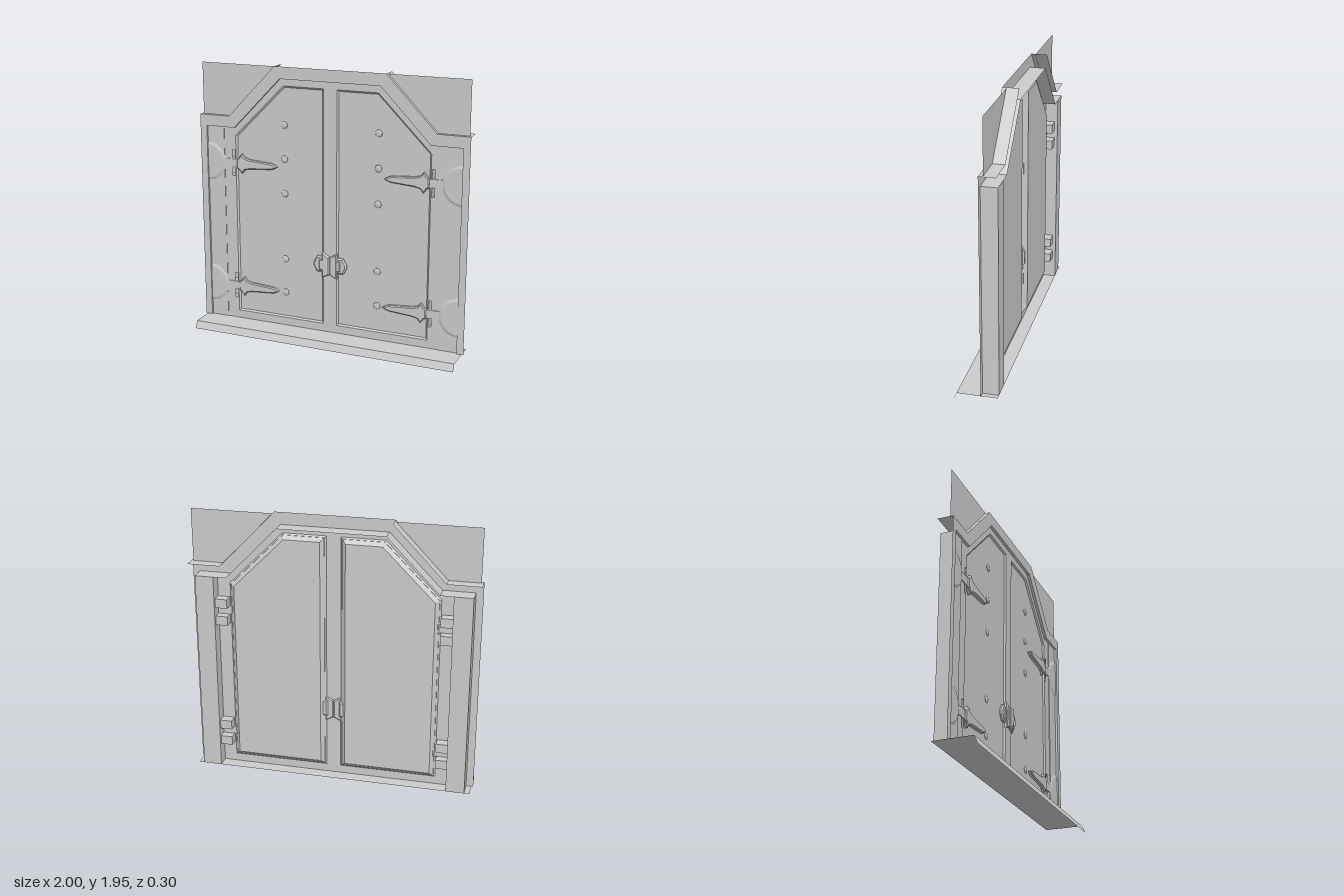
import * as THREE from 'three';

const mat = new THREE.MeshStandardMaterial({ color: 0xcccccc, side: THREE.DoubleSide, flatShading: true });
const smooth = new THREE.MeshStandardMaterial({ color: 0xcccccc, side: THREE.DoubleSide });

const FRONT = -0.04, BACK = -0.15, POST = -0.056, RIM = -0.06, PANEL = -0.071, PANEL_BACK = -0.095, BLOCK_BACK = -0.128;
const BASE = 0.052, TOP = 1.945;

const shapeOf = pts => new THREE.Shape(pts.map(p => new THREE.Vector2(...p)));
const rect = (x0, y0, x1, y1) => [[x0, y0], [x1, y0], [x1, y1], [x0, y1]];

function add(parent, name, geometry, material = mat) {
  const mesh = new THREE.Mesh(geometry, material);
  mesh.name = name;
  parent.add(mesh);
  return mesh;
}

// Flat sheet at depth z, with optional holes
function sheet(parent, name, pts, z, holes = []) {
  const s = shapeOf(pts);
  s.holes = holes.map(shapeOf);
  return add(parent, name, new THREE.ShapeGeometry(s).translate(0, 0, z));
}

// Wall joining outline a at depth za to outline b at depth zb
function wall(parent, name, a, za, b, zb, closed = false) {
  const pos = [];
  const n = a.length;
  for (let i = 0; i < (closed ? n : n - 1); i++) {
    const j = (i + 1) % n;
    const A = [...a[i], za], B = [...a[j], za], C = [...b[j], zb], D = [...b[i], zb];
    pos.push(...A, ...B, ...C, ...A, ...C, ...D);
  }
  const g = new THREE.BufferGeometry();
  g.setAttribute('position', new THREE.Float32BufferAttribute(pos, 3));
  g.computeVertexNormals();
  return add(parent, name, g);
}

function box(parent, name, x0, x1, y0, y1, z0, z1) {
  return add(parent, name, new THREE.BoxGeometry(x1 - x0, y1 - y0, z1 - z0)
    .translate((x0 + x1) / 2, (y0 + y1) / 2, (z0 + z1) / 2));
}

// Raised plate with a bevelled edge, from depth z0 to z1
function plate(parent, name, pts, z0, z1, bevel) {
  const g = new THREE.ExtrudeGeometry(shapeOf(pts), {
    depth: z1 - z0 - bevel, bevelEnabled: true, bevelSize: bevel, bevelOffset: -bevel,
    bevelThickness: bevel, bevelSegments: 1
  });
  return add(parent, name, g.translate(0, 0, z0));
}

// Half circle bulging towards the leaf, with its flat side on the frame edge
function halfRound(r) {
  const pts = [];
  for (let i = 0; i <= 16; i++) {
    const a = Math.PI / 2 + Math.PI * i / 16;
    pts.push([0.949 + r * Math.cos(a), r * Math.sin(a)]);
  }
  return pts;
}

function hinge(parent, y) {
  const g = new THREE.Group();
  g.name = 'hinge';
  g.position.y = y;
  parent.add(g);

  // Tapered strap across the leaf
  const upper = [[0.72, 0.035], [0.705, 0.04], [0.68, 0.072], [0.66, 0.045], [0.62, 0.034], [0.45, 0.022], [0.425, 0.014]];
  const lower = upper.map(([x, v]) => [x, -v]).reverse();
  plate(g, 'hingeStrap', [...upper, [0.4, 0], ...lower], PANEL, -0.046, 0.007);

  // Shallow half-round plate on the post
  wall(g, 'hingePlateEdge', halfRound(0.141), POST, halfRound(0.122), -0.049);
  sheet(g, 'hingePlate', halfRound(0.122), -0.049);
  box(g, 'hingeNeck', 0.72, 0.825, -0.03, 0.03, -0.07, -0.054);

  // Hollow knuckle blocks behind the leaf
  for (const s of [-1, 1]) {
    const block = rect(0.737, s * 0.0625 - 0.0325, 0.82, s * 0.0625 + 0.0325);
    wall(g, 'hingeBlockSides', block, RIM, block, BLOCK_BACK, true);
    sheet(g, 'hingeBlockBack', block, BLOCK_BACK);
  }
}

function createHalf() {
  const half = new THREE.Group();

  // Side post
  box(half, 'post', 0.82, 0.95, BASE, 1.49, BACK, POST);

  // Door leaf: rim with a shallow panel in front and slots for the hinge blocks
  const hingeHeights = [0.305, 1.23];
  const opening = [[0.05, 0.11], [0.73, 0.11], [0.73, 1.43], [0.35, 1.81], [0.05, 1.81]];
  const inset = [[0.06, 0.12], [0.72, 0.12], [0.72, 1.426], [0.346, 1.8], [0.06, 1.8]];
  const slots = hingeHeights.flatMap(y => [-1, 1].map(s =>
    rect(0.737, y + s * 0.0625 - 0.0325, 0.757, y + s * 0.0625 + 0.0325)));
  sheet(half, 'leafRim', [[0, BASE], [0.82, BASE], [0.82, 1.49], [0.73, 1.49], [0.37, 1.86], [0, 1.86]], RIM, [opening, ...slots]);
  wall(half, 'leafBevel', opening, RIM, inset, PANEL, true);
  sheet(half, 'leafPanel', inset, PANEL);

  // Raised panel on the back of the leaf
  const backInset = [[0.087, 0.147], [0.693, 0.147], [0.693, 1.415], [0.335, 1.773], [0.087, 1.773]];
  wall(half, 'backBevel', opening, RIM, backInset, PANEL_BACK, true);
  sheet(half, 'backPanel', backInset, PANEL_BACK);

  hingeHeights.forEach(y => hinge(half, y));

  // Rivets
  for (const y of [0.302, 0.555, 1.04, 1.291, 1.535]) {
    const dome = new THREE.SphereGeometry(0.026, 12, 4, 0, Math.PI * 2, 0, Math.PI / 2);
    dome.rotateX(Math.PI / 2).scale(1, 1, 0.3).translate(0.352, y, PANEL);
    add(half, 'rivet', dome, smooth);
  }

  // Latch: side plate, raised grip and angled centre wing
  plate(half, 'latchPlate', [[0.04, 0.5], [0.1, 0.5], [0.126, 0.545], [0.126, 0.57], [0.1, 0.617], [0.04, 0.617]],
    PANEL, -0.052, 0.01);
  plate(half, 'latchGrip', rect(0.045, 0.52, 0.08, 0.595), -0.054, -0.046, 0.004);
  plate(half, 'latchWing', [[0, 0.489], [0.056, 0.462], [0.056, 0.649], [0, 0.619]], RIM - 0.003, -0.043, 0.008);

  // Flat sheet filling the upper corner, and the ledges below it
  sheet(half, 'cornerPanel', [[0.77, 1.57], [0.985, 1.57], [0.985, 1.94], [0.41, 1.94]], -0.068);
  const ledge = [[1, 1.57], [0.77, 1.57], [0.41, TOP]];
  wall(half, 'ledge', ledge, FRONT, ledge, BACK);
  return half;
}

export function createModel() {
  const model = new THREE.Group();
  model.name = 'gate';

  // Frame face and the lining of its opening
  const mirror = pts => [...pts, ...pts.map(([x, y]) => [-x, y]).reverse()];
  const outer = mirror([[1, BASE], [1, 1.57], [0.77, 1.57], [0.41, TOP]]);
  const inner = mirror([[0.95, BASE], [0.95, 1.49], [0.73, 1.49], [0.37, 1.86]]);
  sheet(model, 'frameFace', [...outer, ...inner.slice().reverse()], FRONT);
  wall(model, 'frameLining', inner, FRONT, inner, BACK);

  // Mirrored halves
  const left = createHalf();
  left.name = 'leftHalf';
  const right = createHalf();
  right.name = 'rightHalf';
  right.scale.x = -1;
  model.add(left, right);

  // Sill: flat sheet with a sloping front lip
  const sill = [[BACK, BASE], [0.125, BASE], [0.148, 0]];
  const sillMesh = wall(model, 'sill', sill, -0.987, sill, 0.987);
  sillMesh.geometry.rotateY(-Math.PI / 2).scale(-1, 1, 1);
  sillMesh.geometry.computeVertexNormals();
  return model;
}
